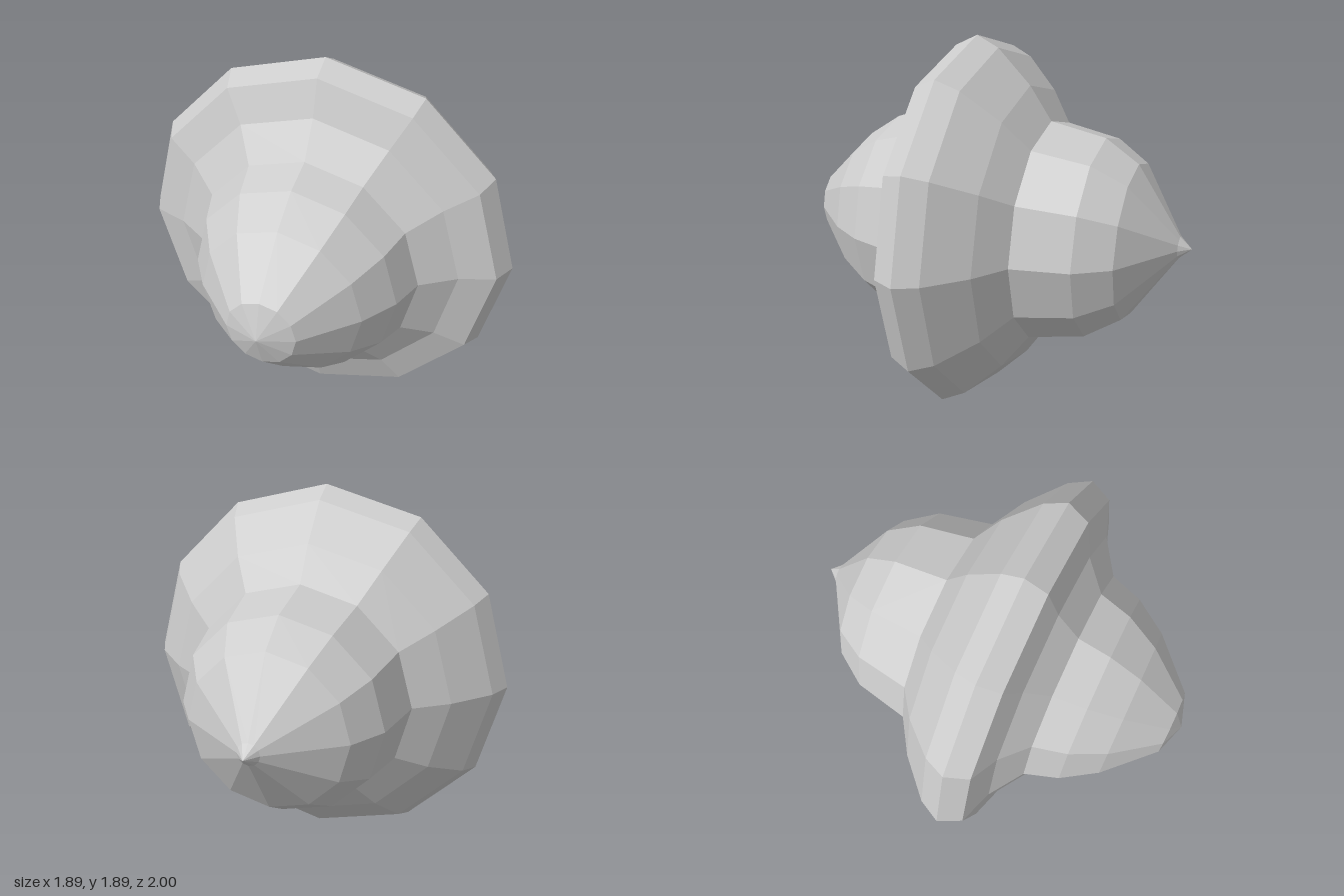
import * as THREE from 'three';

const SIDES = 12;
const RADIUS = 0.945;

// Profiles as [radius, z], running from back to front
const PROFILES = {
  rearDome: [[0, -1], [0.055, -0.94], [0.39, -0.72], [0.5, -0.555], [0.555, -0.278]],
  rearFlange: [[0.555, -0.278], [0.72, -0.167], [0.89, 0], [RADIUS, 0.11]],
  rim: [[RADIUS, 0.11], [0.89, 0.222]],
  frontFlange: [[0.89, 0.222], [0.72, 0.28], [0.555, 0.39]],
  frontDome: [[0.555, 0.39], [0.5, 0.555], [0.39, 0.722], [0.165, 0.945], [0, 1]],
};

export function createModel() {
  const model = new THREE.Group();
  model.name = 'spinningTop';
  const material = new THREE.MeshStandardMaterial({
    color: 0xcccccc, flatShading: true, side: THREE.DoubleSide,
  });

  // Each section is turned around the horizontal z axis
  for (const [name, profile] of Object.entries(PROFILES)) {
    const points = profile.map(([r, z]) => new THREE.Vector2(r, z));
    const geometry = new THREE.LatheGeometry(points, SIDES);
    geometry.rotateX(Math.PI / 2);
    const mesh = new THREE.Mesh(geometry, material);
    mesh.name = name;
    mesh.position.y = RADIUS;
    model.add(mesh);
  }
  return model;
}
